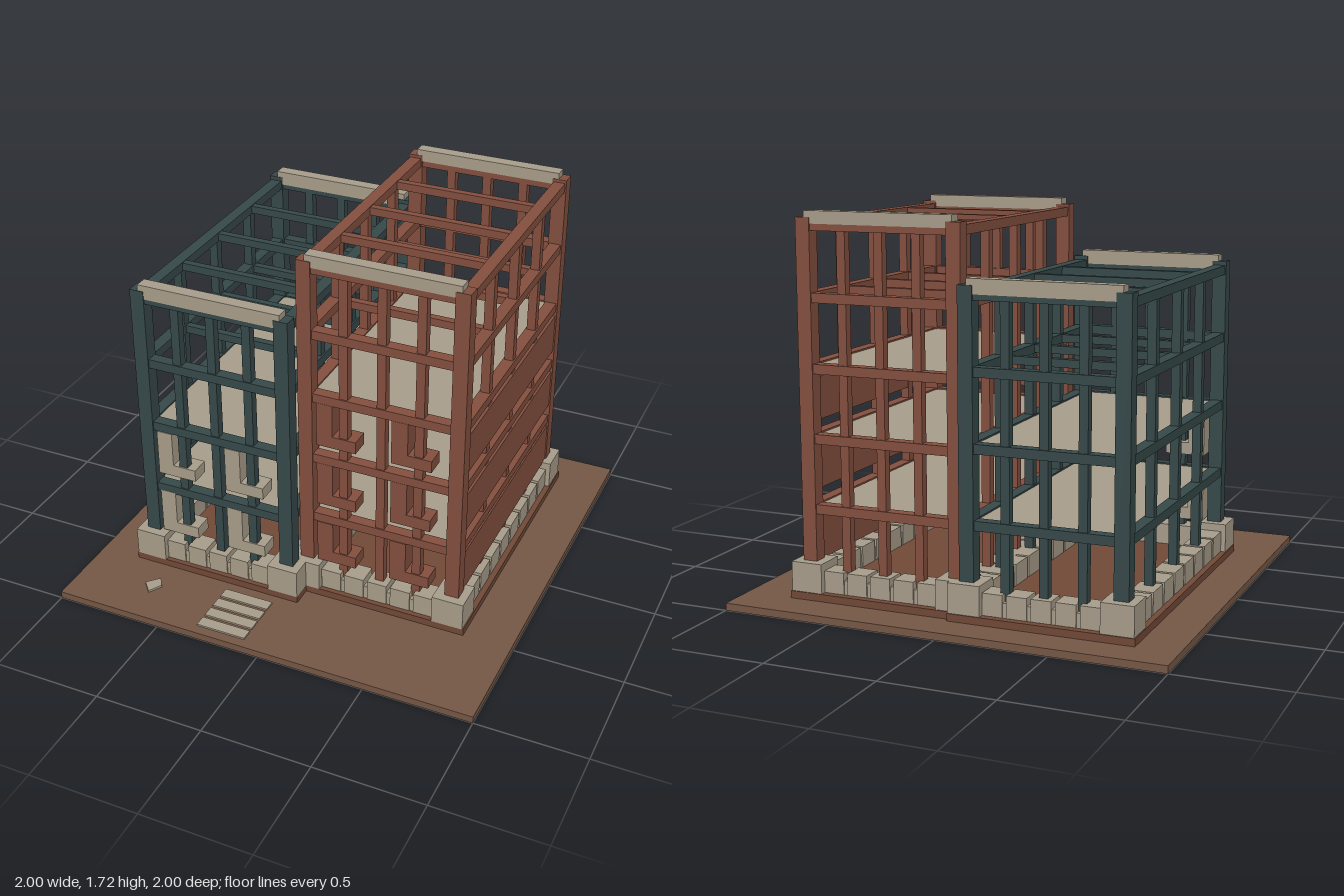
import * as THREE from 'three';

const mat = (name, color) => Object.assign(new THREE.MeshStandardMaterial({ color }), { name });

export function createModel() {
  const teal = mat('dark teal', 0x37494a);
  const red = mat('brick red', 0x85503f);
  const stone = mat('pale stone', 0xaa9f8c);
  const earth = mat('brown earth', 0x775846);
  const plinthBrown = mat('plinth brown', 0x734a38);
  const model = new THREE.Group();
  model.name = 'twinFrameBuilding';

  // Box given by its limits on each axis
  const box = (parent, name, material, x0, x1, y0, y1, z0, z1) => {
    const mesh = new THREE.Mesh(new THREE.BoxGeometry(x1 - x0, y1 - y0, z1 - z0), material);
    mesh.position.set((x0 + x1) / 2, (y0 + y1) / 2, (z0 + z1) / 2);
    mesh.name = name;
    parent.add(mesh);
    return mesh;
  };

  // Ground slab, stepping stones and a loose flat rock
  box(model, 'ground', earth, -1, 1, 0, 0.033, -1, 1);
  for (let i = 0; i < 4; i++) {
    const z = 0.68 + i * 0.073;
    box(model, 'steppingStone', stone, -0.32, -0.085, 0.03, 0.041, z, z + 0.055);
  }
  const rockShape = new THREE.Shape([[-0.68, -0.79], [-0.635, -0.84], [-0.6, -0.78], [-0.63, -0.735]]
    .map(([x, y]) => new THREE.Vector2(x, y)));
  const rock = new THREE.Mesh(new THREE.ExtrudeGeometry(rockShape, { depth: 0.012, bevelEnabled: false }), stone);
  rock.rotation.x = -Math.PI / 2;
  rock.position.y = 0.031;
  rock.name = 'looseRock';
  model.add(rock);

  // One framed tower; x and z are the centre lines of its corner posts
  function tower(o) {
    const g = new THREE.Group();
    g.name = o.name;
    model.add(g);
    const { x, z, levels, color } = o;
    const P = 0.033, B = 0.02;
    const along = (r, t) => r[0] + (r[1] - r[0]) * t;

    // Plinth step
    box(g, 'plinth', plinthBrown, o.base[0], o.base[1], 0.03, 0.066, o.base[2], o.base[3]);

    // Corner posts on tall stone blocks
    for (const px of x) for (const pz of z) {
      box(g, 'cornerPost', color, px - P, px + P, 0.06, o.top, pz - P, pz + P);
      const cx = px + (px === x[0] ? 0.003 : -0.003);
      box(g, 'cornerStone', stone, cx - 0.073, cx + 0.073, 0.066, 0.198, pz - 0.073, pz + 0.073);
    }

    // Low stone wall: a solid course with spaced blocks on top
    const wall = (alongX, fixed, a, b, count) => {
      const put = (name, s, e, y0, y1, d) => alongX
        ? box(g, name, stone, s, e, y0, y1, fixed - d, fixed + d)
        : box(g, name, stone, fixed - d, fixed + d, y0, y1, s, e);
      put('wallCourse', a, b, 0.066, 0.13, 0.044);
      const step = (b - a) / count;
      for (let i = 0; i < count; i++) {
        put('wallBlock', a + i * step + 0.009, a + (i + 1) * step - 0.009, 0.068, 0.165, 0.05);
      }
    };
    for (const pz of z) wall(true, pz, x[0] + 0.07, x[1] - 0.07, 5);
    for (const px of x) wall(false, px, z[0] + 0.07, z[1] - 0.07, 8);

    // Slender posts between the corners, on all four sides
    for (const t of [0.25, 0.5, 0.75]) {
      const mx = along(x, t), mz = along(z, t);
      for (const pz of z) box(g, 'slimPost', color, mx - B, mx + B, 0.12, o.roof, pz - B, pz + B);
      for (const px of x) box(g, 'sidePost', color, px - B, px + B, 0.12, o.roof, mz - B, mz + B);
    }

    // Beams at each level, with cross beams over the unfloored ones
    levels.forEach((y, i) => {
      for (const pz of z) box(g, 'beam', color, x[0], x[1], y - 0.021, y + 0.021, pz - 0.026, pz + 0.026);
      for (const px of x) box(g, 'sideBeam', color, px - 0.027, px + 0.027, y - 0.021, y + 0.021, z[0], z[1]);
      if (i < o.floors) {
        box(g, 'floor', stone, x[0] + 0.025, x[1] - 0.025, y - 0.014, y + 0.014, z[0] + 0.025, z[1] - 0.025);
      } else {
        for (const t of [0.25, 0.5, 0.75]) {
          const mz = along(z, t);
          box(g, 'crossBeam', color, x[0], x[1], y - 0.018, y + 0.018, mz - 0.017, mz + 0.017);
        }
      }
    });

    // Stone caps on the front and back
    for (const pz of z) {
      box(g, 'roofCap', stone, x[0] + 0.005, x[1] - 0.005, o.roof - 0.012, o.top + 0.028, pz - 0.03, pz + 0.03);
    }

    // L-shaped units in the front bays
    for (const lx of o.units.x) for (const [y, h] of o.units.y) {
      const s = new THREE.Shape([[0, 0], [0.185, 0], [0.185, 0.057], [0.075, 0.057], [0.075, h], [0, h]]
        .map(([a, b]) => new THREE.Vector2(a, b)));
      const unit = new THREE.Mesh(new THREE.ExtrudeGeometry(s, { depth: 0.09, bevelEnabled: false }), o.units.color);
      unit.position.set(lx, y, z[1] - 0.063);
      unit.name = 'frontUnit';
      g.add(unit);
    }
    return g;
  }

  tower({
    name: 'tealTower', color: teal, x: [-0.738, -0.055], z: [-0.77, 0.558],
    base: [-0.813, 0.015, -0.848, 0.628], top: 1.44, roof: 1.415,
    levels: [0.44, 0.765, 1.085, 1.4], floors: 2,
    units: { color: stone, x: [-0.69, -0.35], y: [[0.205, 0.22], [0.52, 0.222]] },
  });
  const redTower = tower({
    name: 'redTower', color: red, x: [0.005, 0.703], z: [-0.748, 0.463],
    base: [-0.07, 0.778, -0.826, 0.534], top: 1.69, roof: 1.675,
    levels: [0.43, 0.74, 1.045, 1.35, 1.655], floors: 3,
    units: { color: red, x: [0.055, 0.405], y: [[0.2, 0.207], [0.507, 0.213], [0.813, 0.212]] },
  });

  // Solid cladding bands on the outer side of the red tower
  for (const [y0, y1] of [[0.19, 0.393], [0.51, 0.697], [0.813, 1.0]]) {
    box(redTower, 'sidePanel', red, 0.685, 0.73, y0, y1, -0.73, 0.445);
  }
  return model;
}
